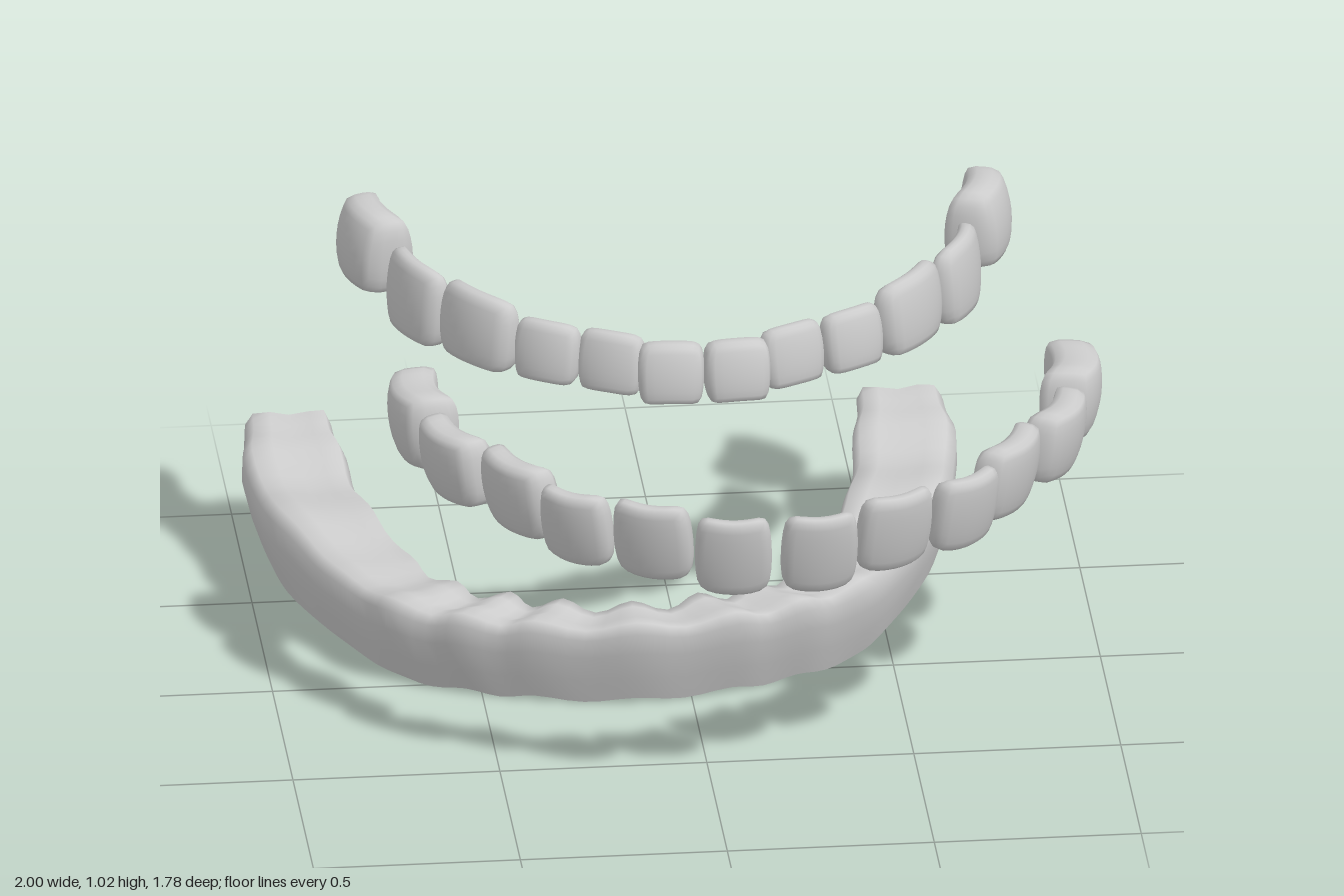
import * as THREE from 'three';
import { mergeVertices } from 'three/addons/utils/BufferGeometryUtils.js';

const material = new THREE.MeshStandardMaterial({ color: 0xcccccc });
const openMaterial = new THREE.MeshStandardMaterial({ color: 0xcccccc, side: THREE.DoubleSide });
const { smoothstep } = THREE.MathUtils;

// A rounded block bent into a thin crescent; `edge` is -1 or 1 for a biting edge below or above
function toothGeometry(w, h, d, bend, edge, lean) {
  const g = new THREE.BoxGeometry(2, 2, 2, 8, 8, 4);
  g.deleteAttribute('normal');
  g.deleteAttribute('uv');
  const geo = mergeVertices(g);
  const p = geo.attributes.position;
  for (let i = 0; i < p.count; i++) {
    let x = p.getX(i), y = p.getY(i), z = p.getZ(i);
    const k = Math.pow(Math.abs(x) ** 7 + Math.abs(y) ** 7 + Math.abs(z) ** 4, -1 / 7);
    x *= k; y *= k; z *= k;
    const e = y * edge;                       // +1 at the biting edge, -1 at the neck
    const width = 1 - 0.09 * e * e + 0.02 * e;
    const depth = 1 - 0.27 * e * e - 0.12 * e;
    p.setXYZ(i,
      x * width * w / 2,
      y * h / 2 - 0.008 * x * x * edge,
      z * depth * d / 2 + bend * (0.4 - x * x) + lean * y);
  }
  geo.computeVertexNormals();
  return geo;
}

// rows: [offset from the midline, z, outward yaw, width, depth, y low, y high, bend]
function toothArch(name, midX, rows, edge, lean) {
  const arch = new THREE.Group();
  arch.name = name;
  const kinds = ['centralIncisor', 'lateralIncisor', 'canine', 'premolar', 'firstMolar', 'backMolar'];
  rows.forEach(([dx, z, yaw, w, d, y0, y1, bend], i) => {
    const geo = toothGeometry(w, y1 - y0, d, bend, edge, lean * Math.cos(yaw));
    for (const side of [1, -1]) {
      const tooth = new THREE.Mesh(geo, material);
      tooth.name = kinds[i] + (side > 0 ? 'Left' : 'Right');
      tooth.position.set(midX + side * dx, (y0 + y1) / 2, z);
      tooth.rotation.y = side * yaw;
      arch.add(tooth);
    }
  });
  return arch;
}

// Mirrored curve through half-arch points given from the back end to the midline
function archCurve(half, midX) {
  const pts = half.map(([x, z]) => new THREE.Vector3(midX - x, 0, z));
  const other = half.slice(0, -1).reverse().map(([x, z]) => new THREE.Vector3(midX + x, 0, z));
  return new THREE.CatmullRomCurve3([...pts, ...other]);
}

// Gum channel: an upside-down trough, open below and at both ends
function gum() {
  const midX = -0.14;
  const outer = archCurve([[0.84, -0.86], [0.86, -0.71], [0.82, -0.45], [0.71, -0.21],
    [0.58, 0.01], [0.42, 0.115], [0.25, 0.175], [0, 0.213]], midX);
  const inner = archCurve([[0.64, -0.86], [0.615, -0.71], [0.57, -0.45], [0.49, -0.24],
    [0.4, -0.08], [0.28, -0.005], [0.16, 0.045], [0, 0.075]], midX);
  // [across from outer to inner, height fraction]
  const section = [[0.16, 0], [0.07, 0.3], [0, 0.62], [0.01, 0.85], [0.1, 0.97], [0.3, 0.98],
    [0.52, 0.94], [0.75, 0.96], [0.93, 0.97], [1, 0.8], [0.98, 0.5], [0.93, 0.25], [0.86, 0]];
  const N = 84, M = section.length, pos = [], idx = [];
  for (let i = 0; i <= N; i++) {
    const t = i / N;
    const a = outer.getPoint(t), b = inner.getPoint(t);
    const c = a.clone().lerp(b, 0.5);
    const front = smoothstep(c.z, -0.35, 0.1);
    const end = smoothstep(-c.z, 0.5, 0.86);
    const wave = Math.cos(2 * Math.PI * 14 * t) * (0.35 + 0.65 * front);
    const bottom = 0.012 + 0.1 * Math.max(0, -c.z) + 0.006 * front * wave;
    const top = 0.237 + 0.045 * smoothstep(-c.z, 0.22, 0.4) + 0.058 * smoothstep(-c.z, 0.58, 0.82);
    section.forEach(([s, h], j) => {
      const across = s + 0.05 * wave * (2 * s - 1) * (0.4 + 0.6 * h);
      const q = a.clone().lerp(b, across);
      // The inner wall gets shorter towards the open ends
      const low = bottom + (j > M / 2 ? 0.06 * end : 0);
      const y = low + (top - low) * h + 0.014 * wave * h * h;
      const endSlant = 0.025 * (1 - h) * smoothstep(-c.z, 0.7, 0.86);
      pos.push(q.x, y, q.z - 0.045 * front * (1 - h) - endSlant);
    });
  }
  for (let i = 0; i < N; i++) for (let j = 0; j < M - 1; j++) {
    const k = i * M + j;
    idx.push(k, k + M, k + 1, k + 1, k + M, k + M + 1);
  }
  const geo = new THREE.BufferGeometry();
  geo.setAttribute('position', new THREE.Float32BufferAttribute(pos, 3));
  geo.setIndex(idx);
  geo.computeVertexNormals();
  const mesh = new THREE.Mesh(geo, openMaterial);
  mesh.name = 'gumChannel';
  return mesh;
}

export function createModel() {
  const model = new THREE.Group();
  model.name = 'dentalSet';
  model.add(gum());

  // Large arch, biting edges down
  model.add(toothArch('largeToothArch', 0.135, [
    [0.105, 0.845, 0.1, 0.185, 0.05, 0.61, 0.82, 0.02],
    [0.295, 0.775, 0.42, 0.195, 0.055, 0.63, 0.835, 0.02],
    [0.472, 0.69, 0.62, 0.185, 0.06, 0.64, 0.835, 0.02],
    [0.595, 0.515, 1.0, 0.23, 0.08, 0.65, 0.845, 0.025],
    [0.73, 0.315, 1.1, 0.225, 0.09, 0.65, 0.838, 0.025],
    [0.785, 0.08, 1.42, 0.23, 0.125, 0.65, 0.848, 0.03],
  ], -1, 0.02));

  // Small arch, biting edges up
  model.add(toothArch('smallToothArch', 0.03, [
    [0.08, 0.13, 0.08, 0.16, 0.075, 0.80, 0.95, 0.012],
    [0.22, 0.075, 0.46, 0.165, 0.06, 0.81, 0.96, 0.015],
    [0.37, 0.022, 0.53, 0.165, 0.06, 0.82, 0.97, 0.017],
    [0.525, -0.118, 0.92, 0.235, 0.07, 0.81, 0.995, 0.025],
    [0.658, -0.295, 1.17, 0.23, 0.065, 0.805, 1.003, 0.025],
    [0.735, -0.565, 1.27, 0.215, 0.125, 0.825, 1.025, 0.025],
  ], 1, -0.008));
  return model;
}
